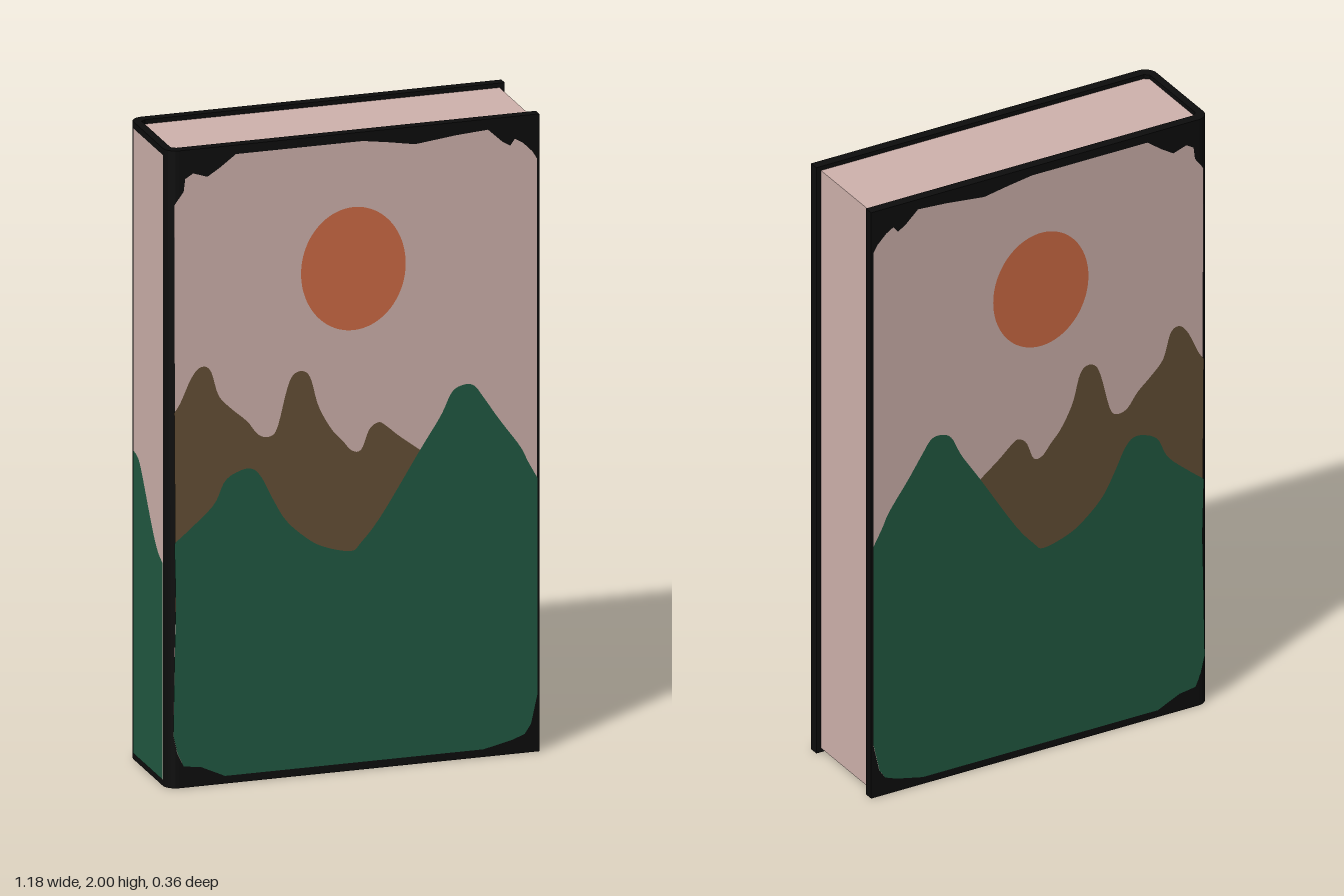
import * as THREE from 'three';
import { toCreasedNormals } from 'three/addons/utils/BufferGeometryUtils.js';

const mat = (name, color) => {
  const m = new THREE.MeshStandardMaterial({ color });
  m.name = name;
  return m;
};

// Flat [x, y, x, y, ...] list to points; s = -1 mirrors in x
const points = (list, s = 1) => {
  const out = [];
  for (let i = 0; i < list.length; i += 2) out.push(new THREE.Vector2(s * list[i], list[i + 1]));
  return out;
};

// Smooth ridge line closed by a straight-edged lower outline
const ridgeShape = (ridge, base, s = 1) => {
  const top = points(ridge, s);
  const shape = new THREE.Shape();
  shape.moveTo(top[0].x, top[0].y);
  shape.splineThru(top.slice(1));
  points(base, s).forEach(p => shape.lineTo(p.x, p.y));
  shape.closePath();
  return shape;
};

const SIZE = { x0: -0.587, x1: 0.587, z: 0.177, t: 0.031, r: 0.04 };

// Worn upper and lower edges of the printed picture
const TOP_EDGE = [
  -0.565, 1.83, -0.535, 1.87, -0.53, 1.91, -0.505, 1.925, -0.46, 1.91, -0.42, 1.935, -0.37, 1.972,
  0.03, 1.972, 0.11, 1.96, 0.195, 1.945, 0.325, 1.96, 0.425, 1.967, 0.47, 1.925, 0.495, 1.91,
  0.51, 1.93, 0.535, 1.915, 0.565, 1.885, 0.58, 1.86,
];
const BOTTOM_EDGE = [
  0.58, 0.18, 0.56, 0.09, 0.54, 0.06, 0.5, 0.045, 0.41, 0.025, -0.405, 0.025, -0.48, 0.06,
  -0.535, 0.068, -0.555, 0.11, -0.568, 0.165, -0.564, 0.4, -0.56, 0.58,
];
const FAR_RIDGE = [
  -0.565, 1.18, -0.545, 1.21, -0.51, 1.285, -0.48, 1.315, -0.45, 1.3, -0.425, 1.22, -0.385, 1.175,
  -0.335, 1.13, -0.3, 1.085, -0.265, 1.075, -0.24, 1.1, -0.21, 1.215, -0.19, 1.26, -0.16, 1.27,
  -0.135, 1.245, -0.11, 1.155, -0.07, 1.08, -0.035, 1.04, -0.005, 1.005, 0.025, 1.005, 0.05, 1.065,
  0.08, 1.085, 0.105, 1.07, 0.145, 1.035, 0.21, 0.985,
];
const NEAR_RIDGE = [
  -0.565, 0.77, -0.51, 0.815, -0.44, 0.88, -0.405, 0.95, -0.36, 0.977, -0.32, 0.98, -0.29, 0.95,
  -0.255, 0.88, -0.215, 0.81, -0.16, 0.755, -0.1, 0.715, -0.01, 0.69, 0.025, 0.715, 0.09, 0.795,
  0.21, 0.985, 0.275, 1.085, 0.31, 1.155, 0.345, 1.175, 0.38, 1.17, 0.41, 1.13, 0.46, 1.055,
  0.525, 0.965, 0.55, 0.915, 0.58, 0.86,
];
const SPINE_RIDGE = [
  -0.135, 0.97, -0.1, 0.965, -0.07, 0.945, -0.03, 0.89, 0.01, 0.83, 0.06, 0.76, 0.1, 0.72, 0.14, 0.7,
];

export function createModel() {
  const book = new THREE.Group();
  book.name = 'book';
  const black = mat('blackCover', 0x0d0d0d);
  const pink = mat('palePink', 0xd0b3ad);
  const brown = mat('brownHills', 0x655036);
  const green = mat('greenHills', 0x215a42);
  const orange = mat('orangeSun', 0xcf6b45);

  const add = (parent, name, geometry, material) => {
    const mesh = new THREE.Mesh(geometry, material);
    mesh.name = name;
    parent.add(mesh);
    return mesh;
  };

  // Case: U-shaped section with rounded spine corners, extruded upward
  const { x0, x1, z, t, r } = SIZE;
  const section = new THREE.Shape();
  section.moveTo(x1, -z);
  section.lineTo(x1, -z + t);
  section.lineTo(x0 + t + 0.008, -z + t);
  section.lineTo(x0 + t - 0.006, -z + t + 0.012);
  section.lineTo(x0 + t - 0.006, z - t - 0.012);
  section.lineTo(x0 + t + 0.008, z - t);
  section.lineTo(x1, z - t);
  section.lineTo(x1, z);
  section.lineTo(x0 + r, z);
  section.absarc(x0 + r, z - r, r, Math.PI / 2, Math.PI, false);
  section.lineTo(x0, -z + r);
  section.absarc(x0 + r, -z + r, r, Math.PI, Math.PI * 1.5, false);
  section.closePath();
  const caseGeo = new THREE.ExtrudeGeometry(section, { depth: 2, bevelEnabled: false, curveSegments: 8 });
  caseGeo.rotateX(-Math.PI / 2);
  add(book, 'cover', toCreasedNormals(caseGeo, 0.6), black);

  // Page block
  const pages = add(book, 'pages', new THREE.BoxGeometry(1.133, 1.972, 2 * (z - t)), pink);
  pages.position.set(0.0045, 1, 0);

  // Landscape on both boards, mirrored on the back
  for (const s of [1, -1]) {
    const art = new THREE.Group();
    art.name = s > 0 ? 'frontPicture' : 'backPicture';
    if (s < 0) art.rotation.y = Math.PI;
    const layer = (name, shape, material, lift, segments = 4) =>
      add(art, name, new THREE.ShapeGeometry(shape, segments), material).position.z = z + lift;

    layer('sky', new THREE.Shape(points([...TOP_EDGE, ...BOTTOM_EDGE], s)), pink, 0.001);
    layer('farHills', ridgeShape(FAR_RIDGE, [0.21, 0.8, 0, 0.5, -0.56, 0.5], s), brown, 0.002);
    layer('nearHills', ridgeShape(NEAR_RIDGE, BOTTOM_EDGE, s), green, 0.003);
    const sun = new THREE.Shape();
    sun.absellipse(0, 1.575, 0.165, 0.193, 0, Math.PI * 2);
    layer('sun', sun, orange, 0.002, 48);
    book.add(art);
  }

  // Spine panel
  const spine = new THREE.Group();
  spine.name = 'spinePicture';
  spine.rotation.y = -Math.PI / 2;
  const spineSky = new THREE.Shape(points([-0.135, 0.02, 0.14, 0.02, 0.14, 1.98, -0.135, 1.98]));
  add(spine, 'spineSky', new THREE.ShapeGeometry(spineSky), pink).position.z = -x0 + 0.001;
  const spineHill = ridgeShape(SPINE_RIDGE, [0.14, 0.02, -0.135, 0.02]);
  add(spine, 'spineHill', new THREE.ShapeGeometry(spineHill, 4), green).position.z = -x0 + 0.002;
  book.add(spine);

  return book;
}
